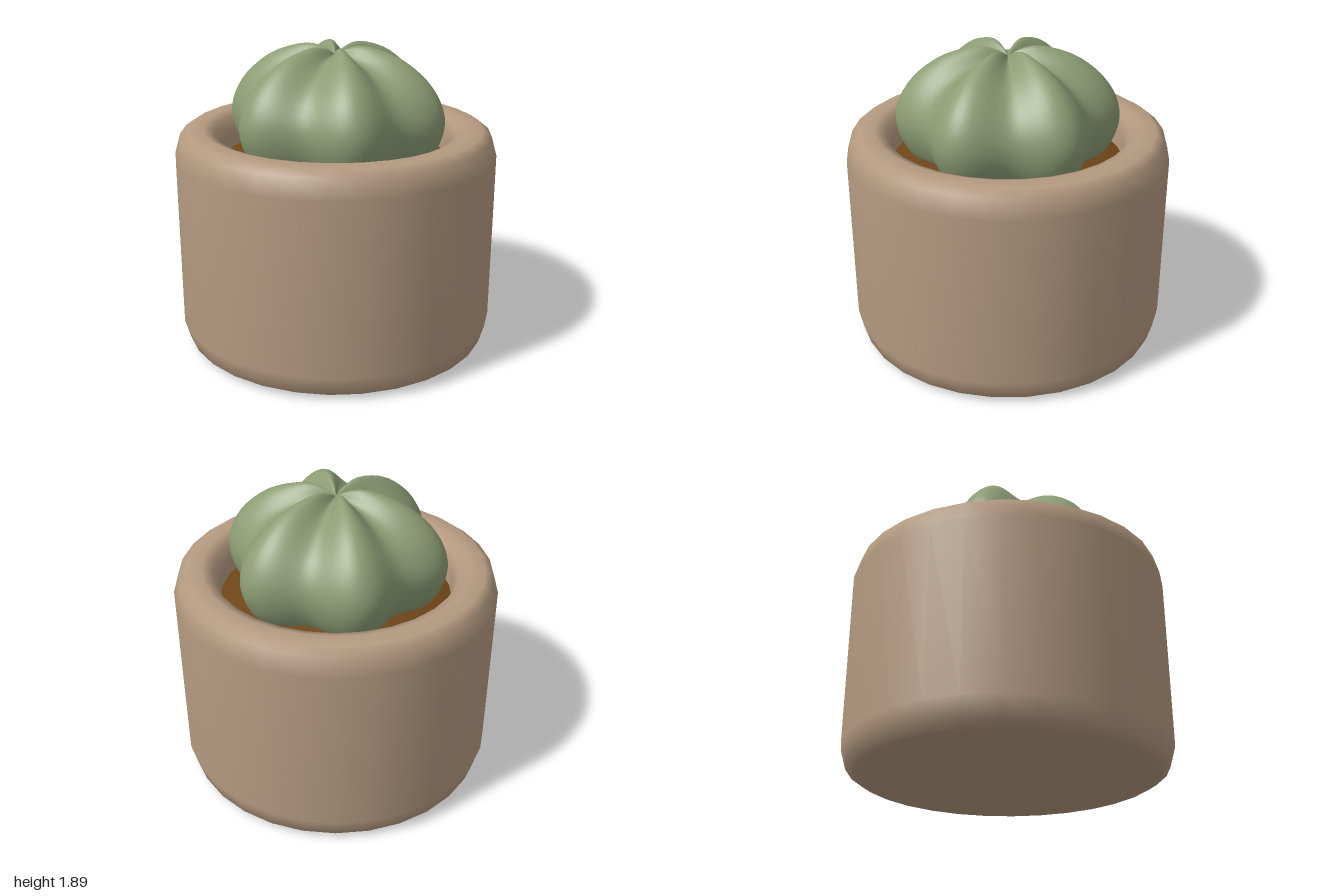
import * as THREE from 'three';
import { mergeVertices } from 'three/addons/utils/BufferGeometryUtils.js';

const toPoints = (list) => list.map(([x, y]) => new THREE.Vector2(x, y));

function addPart(group, name, geometry, color) {
  const mesh = new THREE.Mesh(geometry, new THREE.MeshStandardMaterial({ color }));
  mesh.name = name;
  group.add(mesh);
}

// Lathe whose profile blends from valley to crest around six ribs
function ribbedBody(crest, valley, ribs, turn) {
  const rows = 28, around = 120;
  const crestPts = new THREE.SplineCurve(toPoints(crest)).getPoints(rows);
  const valleyPts = new THREE.SplineCurve(toPoints(valley)).getPoints(rows);
  const geo = new THREE.LatheGeometry(crestPts, around);
  const pos = geo.attributes.position;
  const p = new THREE.Vector2();
  for (let i = 0; i < pos.count; i++) {
    const row = i % (rows + 1);
    const a = (Math.floor(i / (rows + 1)) % around) / around * Math.PI * 2;
    p.lerpVectors(valleyPts[row], crestPts[row], 0.5 + 0.5 * Math.cos(ribs * a));
    pos.setXYZ(i, p.x * Math.sin(a + turn), p.y, p.x * Math.cos(a + turn));
  }
  // Weld the seam and the pole so the shading is continuous
  geo.deleteAttribute('uv');
  geo.deleteAttribute('normal');
  const welded = mergeVertices(geo, 1e-4);
  welded.computeVertexNormals();
  return welded;
}

export function createModel() {
  const model = new THREE.Group();
  model.name = 'pottedCactus';

  // Thick round pot with softened edges, open at the top
  const potProfile = toPoints([
    [0, 0], [0.84, 0], [0.91, 0.005], [0.965, 0.04], [1, 0.16],
    [1, 1.225], [0.965, 1.345], [0.915, 1.38], [0.82, 1.385],
    [0.755, 1.36], [0.72, 1.27], [0.72, 1.0],
  ]);
  addPart(model, 'pot', new THREE.LatheGeometry(potProfile, 30), 0xb59a80);

  // Slightly domed soil
  const soilProfile = toPoints([[0.72, 1.17], [0.6, 1.21], [0.4, 1.24], [0.2, 1.255], [0, 1.26]]);
  addPart(model, 'soil', new THREE.LatheGeometry(soilProfile, 30), 0x6e4518);

  // Six-ribbed cactus with a dimple on top
  const crest = [
    [0.45, 1.1], [0.59, 1.2], [0.665, 1.32], [0.69, 1.45], [0.655, 1.58],
    [0.56, 1.71], [0.4, 1.825], [0.2, 1.885], [0.08, 1.868], [0, 1.825],
  ];
  const valley = [
    [0.38, 1.1], [0.49, 1.2], [0.555, 1.32], [0.575, 1.44], [0.545, 1.55],
    [0.46, 1.66], [0.32, 1.755], [0.16, 1.81], [0.06, 1.824], [0, 1.825],
  ];
  const turn = THREE.MathUtils.degToRad(25);
  addPart(model, 'cactus', ribbedBody(crest, valley, 6, turn), 0x8c9c74);

  return model;
}
